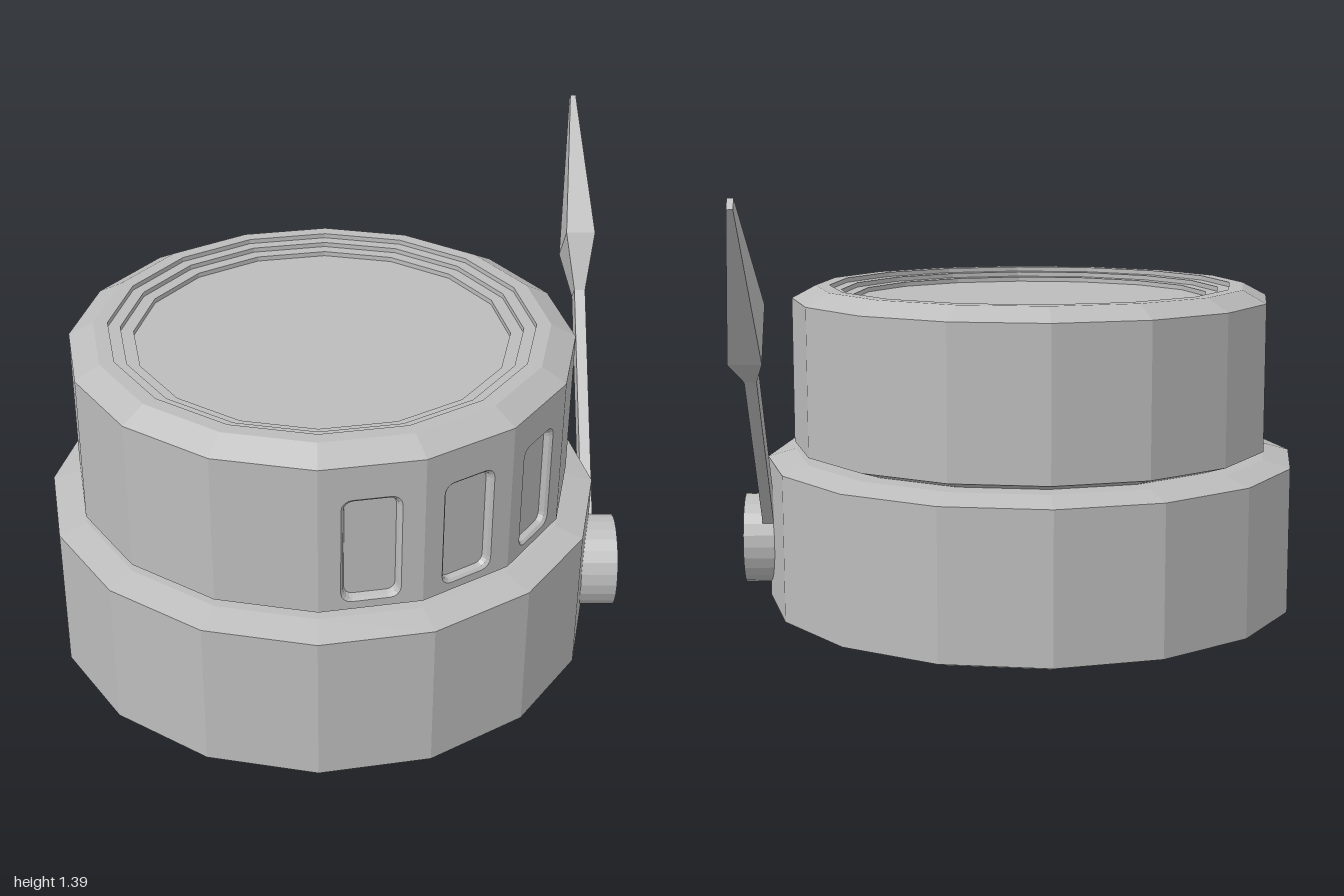
import * as THREE from 'three';

const SIDES = 16;
const STEP = (Math.PI * 2) / SIDES;

// Split the faces apart so every facet is shaded flat
function facet(geometry) {
  const g = geometry.index ? geometry.toNonIndexed() : geometry;
  g.computeVertexNormals();
  return g;
}

// Sixteen-sided turned part from [radius, height] pairs
function turned(profile) {
  return facet(new THREE.LatheGeometry(profile.map(([r, y]) => new THREE.Vector2(r, y)), SIDES));
}

// Skin over equal counter-clockwise loops of [x, y, z], closing the last one
function loft(loops) {
  const n = loops[0].length;
  const index = [];
  for (let s = 0; s < loops.length - 1; s++) {
    for (let i = 0; i < n; i++) {
      const j = (i + 1) % n;
      const a = s * n, b = a + n;
      index.push(a + i, a + j, b + j, a + i, b + j, b + i);
    }
  }
  const last = (loops.length - 1) * n;
  for (let i = 1; i < n - 1; i++) index.push(last, last + i, last + i + 1);
  const g = new THREE.BufferGeometry();
  g.setAttribute('position', new THREE.Float32BufferAttribute(loops.flat(2), 3));
  g.setIndex(index);
  return facet(g);
}

// Counter-clockwise rounded rectangle
function roundedLoop(w, h, r) {
  const points = [];
  const corners = [[1, -1, -0.5], [1, 1, 0], [-1, 1, 0.5], [-1, -1, 1]];
  for (const [sx, sy, start] of corners) {
    for (let k = 0; k <= 4; k++) {
      const t = (start + k / 8) * Math.PI;
      points.push([sx * (w - r) + Math.cos(t) * r, sy * (h - r) + Math.sin(t) * r]);
    }
  }
  return points;
}

export function createModel() {
  const model = new THREE.Group();
  model.name = 'leverDrum';
  const grey = new THREE.MeshStandardMaterial({ color: 0xbcbcbc });
  grey.name = 'plain grey';

  const add = (parent, name, geometry) => {
    const mesh = new THREE.Mesh(geometry, grey);
    mesh.name = name;
    parent.add(mesh);
    return mesh;
  };

  const body = new THREE.Group();
  body.name = 'body';
  body.position.set(-0.043, 0, 0.133);
  model.add(body);

  // Wide base with bevelled edges
  add(body, 'base', turned([[0, 0], [0.785, 0], [0.864, 0.028], [0.864, 0.496], [0.775, 0.52], [0, 0.52]]));

  // Upper drum: lower bevel, and top with stepped recess
  const R = 0.777, low = 0.545, high = 1.017;
  add(body, 'drumLowerBevel', turned([[0.7, 0.52], [R, low]]));
  add(body, 'drumTop', turned([
    [R, high], [0.7, 1.058], [0.655, 1.058], [0.655, 1.043], [0.617, 1.043],
    [0.617, 1.028], [0.577, 1.028], [0.577, 1.013], [0, 1.013],
  ]));

  // Drum wall, one panel per side; three front-left panels have a recessed slot
  const half = R * Math.sin(STEP / 2);
  const apothem = R * Math.cos(STEP / 2);
  const slotY = 0.74;
  const rim = roundedLoop(0.087, 0.17, 0.032);
  const mid = roundedLoop(0.079, 0.162, 0.028);
  const floor = roundedLoop(0.074, 0.157, 0.025);
  for (let i = 0; i < SIDES; i++) {
    const angle = (i + 0.5) * STEP;
    const place = (g) => g.translate(0, 0, apothem).rotateY(angle);
    const panel = new THREE.Shape([
      new THREE.Vector2(-half, low), new THREE.Vector2(half, low),
      new THREE.Vector2(half, high), new THREE.Vector2(-half, high),
    ]);
    if (i < 3) {
      panel.holes.push(new THREE.Path(rim.map(([x, y]) => new THREE.Vector2(x, y + slotY))));
      const at = (loop, z) => loop.map(([x, y]) => [x, y + slotY, z]);
      add(body, 'slot', place(loft([at(rim, 0), at(mid, -0.008), at(floor, -0.024)])));
    }
    add(body, 'drumWall', place(facet(new THREE.ShapeGeometry(panel))));
  }

  // Lever on the left side: round pivot and a leaning arm with a flared blade
  const lever = new THREE.Group();
  lever.name = 'lever';
  lever.position.set(0, 0.215, 0.172);
  model.add(lever);
  const pivot = facet(new THREE.CylinderGeometry(0.147, 0.147, 0.115, 24));
  add(lever, 'pivot', pivot.rotateZ(-Math.PI / 2).translate(0.843, 0, 0));

  // Arm sections: distance along, half thickness, half width
  const sections = [[0.08, 0.018, 0.037], [0.914, 0.018, 0.037], [1.093, 0.048, 0.108], [1.638, 0.009, 0.02]];
  const arm = loft(sections.map(([d, t, w]) => [[-t, -w, d], [t, -w, d], [t, w, d], [-t, w, d]]));
  add(lever, 'arm', arm.rotateX(-Math.PI * 0.75).translate(0.82, 0, 0));

  return model;
}
